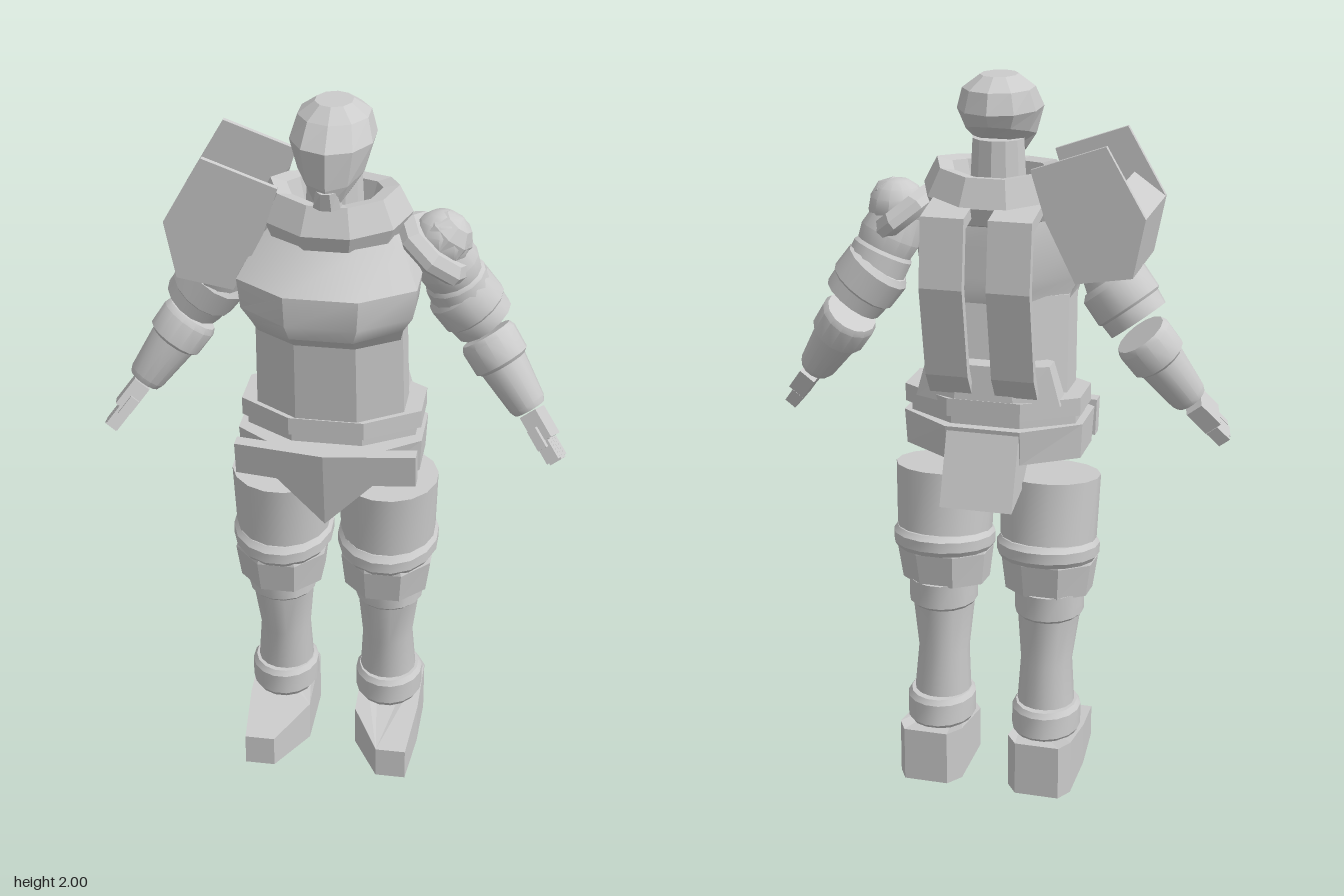
import * as THREE from 'three';
import { toCreasedNormals } from 'three/addons/utils/BufferGeometryUtils.js';

const mat = new THREE.MeshStandardMaterial({ color: 0xcccccc, side: THREE.DoubleSide });
const flat = new THREE.MeshStandardMaterial({ color: 0xcccccc, side: THREE.DoubleSide, flatShading: true });

function add(parent, name, geo, material = mat) {
  const g = material === mat ? toCreasedNormals(geo, 0.5) : geo;
  const m = new THREE.Mesh(g, material);
  m.name = name;
  parent.add(m);
  return m;
}

// Horizontal ring: half width rx, z from zb (back) to zf (front); tilt slopes y along z.
function ring(cx, y, rx, zb, zf, n = 8, tilt = 0, phase = 0.5) {
  const k = phase ? 1 / Math.cos(Math.PI / n) : 1, cz = (zb + zf) / 2, rz = (zf - zb) / 2;
  return Array.from({ length: n }, (_, i) => {
    const a = ((i + phase) / n) * Math.PI * 2;
    const z = Math.cos(a) * rz * k;
    return [cx + Math.sin(a) * rx * k, y + tilt * z, cz + z];
  });
}

// Skin over rings listed from the bottom up, with optional caps.
function loft(rings, caps = true) {
  const n = rings[0].length, pos = rings.flat(2), idx = [];
  for (let r = 0; r < rings.length - 1; r++)
    for (let i = 0; i < n; i++) {
      const a = r * n + i, b = r * n + (i + 1) % n;
      idx.push(a, b, b + n, a, b + n, a + n);
    }
  if (caps) {
    const top = (rings.length - 1) * n;
    for (let i = 1; i < n - 1; i++) idx.push(0, i + 1, i, top, top + i, top + i + 1);
  }
  const g = new THREE.BufferGeometry();
  g.setAttribute('position', new THREE.Float32BufferAttribute(pos, 3));
  g.setIndex(idx);
  g.computeVertexNormals();
  return caps || rings.length ? g.toNonIndexed() : g;
}

const shape = pts => new THREE.Shape(pts.map(p => new THREE.Vector2(...p)));
const slab = (pts, depth) => new THREE.ExtrudeGeometry(shape(pts), { depth, bevelEnabled: false });
// Side profile of [z, y] points, extruded from x0 to x1.
const sideSlab = (pts, x0, x1) => slab(pts, x1 - x0).rotateY(-Math.PI / 2).translate(x1, 0, 0);

// Turned segment from a to b; profile is [radius, fraction of the length].
function segment(parent, name, a, b, profile, sides = 14) {
  const A = new THREE.Vector3(...a), d = new THREE.Vector3(...b).sub(A), L = d.length();
  const pts = profile.map(([r, t]) => new THREE.Vector2(r, t * L));
  const m = add(parent, name, new THREE.LatheGeometry(pts, sides));
  m.position.copy(A);
  m.quaternion.setFromUnitVectors(new THREE.Vector3(0, 1, 0), d.normalize());
  return m;
}

function head(root) {
  const g = new THREE.Group();
  g.name = 'head';
  root.add(g);
  const R = (y, rx, zb, zf, t) => ring(0, y, rx, zb, zf, 10, t, 0);
  add(g, 'helmet', loft([
    R(1.805, 0.06, -0.06, 0.15, -0.4), R(1.845, 0.09, -0.105, 0.165, -0.25),
    R(1.91, 0.112, -0.122, 0.17, 0), R(1.965, 0.095, -0.105, 0.115, 0), R(1.998, 0.05, -0.05, 0.07, 0),
  ]), flat);
  add(g, 'chinGuard', loft([ring(0, 1.755, 0.035, 0.09, 0.155), ring(0, 1.805, 0.028, 0.09, 0.168)]), flat);
  add(g, 'neck', new THREE.CylinderGeometry(0.07, 0.08, 0.19, 12).translate(0, 1.74, 0));
}

function torso(root) {
  const g = new THREE.Group();
  g.name = 'torso';
  root.add(g);
  const C = (y, r) => ring(0, y, r, -r * 0.82, r * 0.84, 10, 0.18);
  add(g, 'collar', loft([
    C(1.64, 0.14), C(1.655, 0.175), C(1.705, 0.195), C(1.745, 0.175), C(1.775, 0.16),
    C(1.765, 0.12), C(1.69, 0.1),
  ].map(r => r.map(([x, y, z]) => [x, y - 0.3 * Math.max(0, z) , z])), false), flat);
  add(g, 'breastplate', loft([
    ring(0, 1.385, 0.19, -0.07, 0.18), ring(0, 1.43, 0.2, -0.08, 0.235), ring(0, 1.47, 0.225, -0.08, 0.248),
    ring(0, 1.55, 0.235, -0.08, 0.245), ring(0, 1.64, 0.185, -0.08, 0.15), ring(0, 1.69, 0.14, -0.07, 0.11),
  ]));
  add(g, 'abdomen', loft([ring(0, 1.14, 0.2, -0.11, 0.155), ring(0, 1.42, 0.195, -0.07, 0.18)]), flat);
  add(g, 'lumbarGuard', loft([ring(0, 1.14, 0.2, -0.16, 0), ring(0, 1.25, 0.17, -0.15, -0.02)]), flat);

  // Twin curved plates standing off the back
  const profile = [[-0.1, 1.69], [-0.225, 1.665], [-0.247, 1.48], [-0.195, 1.23], [-0.155, 1.17],
    [-0.14, 1.18], [-0.175, 1.25], [-0.222, 1.48], [-0.205, 1.635], [-0.1, 1.66]];
  for (const s of [-1, 1])
    add(g, 'backPlate', sideSlab(profile, s * 0.09 - 0.058, s * 0.09 + 0.058), flat);
}

function hips(root) {
  const g = new THREE.Group();
  g.name = 'hips';
  root.add(g);
  add(g, 'belt', loft([ring(0, 1.105, 0.245, -0.16, 0.16), ring(0, 1.155, 0.245, -0.16, 0.16)]), flat);
  add(g, 'waistLining', loft([ring(0, 1.06, 0.23, -0.14, 0.145), ring(0, 1.11, 0.23, -0.14, 0.145)]), flat);
  add(g, 'hipRing', loft([ring(0, 0.98, 0.245, -0.155, 0.18), ring(0, 1.078, 0.25, -0.168, 0.2)]), flat);
  // Pointed front apron, made of two mirrored halves bent at the middle
  for (const s of [-1, 1]) {
    const a = slab([[0, 1.078], [0, 0.845], [0.13, 0.98], [0.245, 0.98], [0.245, 1.078]], 0.04);
    const p = a.attributes.position;
    for (let i = 0; i < p.count; i++) {
      const x = p.getX(i), y = p.getY(i);
      p.setXYZ(i, s * x, y, p.getZ(i) + 0.18 - 0.14 * x - 0.17 * (1.078 - y));
    }
    if (s < 0) // restore outward facing on the mirrored half
      for (let i = 0; i < p.count; i += 3) {
        const v = [p.getX(i), p.getY(i), p.getZ(i)];
        p.setXYZ(i, p.getX(i + 1), p.getY(i + 1), p.getZ(i + 1));
        p.setXYZ(i + 1, ...v);
      }
    a.computeVertexNormals();
    add(g, 'frontApron', a, flat);
  }
  add(g, 'backFlap', sideSlab([[-0.1, 1.07], [-0.165, 1.07], [-0.24, 0.872], [-0.13, 0.9], [-0.04, 0.98]], -0.1, 0.1), flat);
}

function leg(root, s) {
  const g = new THREE.Group();
  g.name = s > 0 ? 'leftLeg' : 'rightLeg';
  root.add(g);
  const R = (y, x0, x1, zb, zf, tilt = 0, n = 16) => ring(s * (x0 + x1) / 2, y, (x1 - x0) / 2, zb, zf, n, tilt);
  add(g, 'thigh', loft([R(0.7, 0.02, 0.28, -0.155, 0.11, -0.1), R(0.91, 0.012, 0.287, -0.132, 0.125, -0.1)]));
  add(g, 'thighBand', loft([
    R(0.67, 0.02, 0.28, -0.165, 0.12, -0.13), R(0.685, 0.01, 0.29, -0.175, 0.13, -0.13),
    R(0.715, 0.01, 0.29, -0.175, 0.13, -0.13), R(0.73, 0.02, 0.28, -0.16, 0.115, -0.13),
  ]));
  add(g, 'kneeGuard', loft([R(0.565, 0.035, 0.265, -0.115, 0.1, -0.1, 8), R(0.66, 0.025, 0.278, -0.13, 0.115, -0.1, 8),
    R(0.69, 0.035, 0.265, -0.13, 0.11, -0.1, 8)]), flat);
  add(g, 'shin', loft([
    R(0.13, 0.08, 0.23, -0.13, 0.03), R(0.23, 0.073, 0.232, -0.125, 0.035), R(0.36, 0.08, 0.222, -0.11, 0.04),
    R(0.5, 0.068, 0.24, -0.115, 0.07), R(0.51, 0.06, 0.25, -0.125, 0.08), R(0.58, 0.06, 0.25, -0.125, 0.08),
  ]));
  add(g, 'ankleBand', loft([
    R(0.145, 0.07, 0.24, -0.15, 0.05), R(0.16, 0.06, 0.25, -0.16, 0.06),
    R(0.22, 0.06, 0.25, -0.155, 0.06), R(0.235, 0.07, 0.24, -0.145, 0.05),
  ]));

  // Boot: one outline, its top sloping down to the toe
  const outline = [[0.15, 0.195], [0.235, 0.195], [0.25, 0.02], [0.25, -0.15], [0.225, -0.195],
    [0.1, -0.195], [0.068, -0.15], [0.068, 0.05]];
  if (s < 0) outline.reverse();
  const level = h => outline.map(([x, z]) => [s * x, h * (0.158 - 0.065 * Math.max(0, z + 0.15) / 0.345), z]);
  add(g, 'boot', loft([level(0), level(1)]), flat);
}

function arm(root, s) {
  const g = new THREE.Group();
  g.name = s > 0 ? 'leftArm' : 'rightArm';
  root.add(g);
  const P = (x, y, z) => [s * x, y, z];
  add(g, 'shoulder', new THREE.SphereGeometry(0.08, 12, 8).translate(s * 0.28, 1.63, 0));
  segment(g, 'upperArm', P(0.27, 1.62, 0), P(0.345, 1.44, -0.045),
    [[0, 0], [0.07, 0], [0.085, 0.35], [0.078, 0.55], [0.085, 0.6], [0.085, 1], [0, 1]]);
  segment(g, 'upperArmBand', P(0.315, 1.485, -0.04), P(0.395, 1.38, -0.052),
    [[0, 0], [0.08, 0], [0.095, 0.12], [0.095, 0.65], [0.088, 0.7], [0.085, 1], [0, 1]]);
  segment(g, 'forearm', P(0.4, 1.34, -0.05), P(0.53, 1.155, 0.005),
    [[0, 0], [0.072, 0], [0.08, 0.07], [0.078, 0.36], [0.066, 0.4], [0.052, 0.93], [0.045, 1], [0, 1]]);

  // Flat gauntlet hand with fingers and a thumb
  const hand = new THREE.Group();
  hand.name = 'hand';
  hand.position.set(s * 0.535, 1.15, 0.01);
  hand.quaternion.setFromRotationMatrix(new THREE.Matrix4().lookAt(
    new THREE.Vector3(), new THREE.Vector3(s * -0.09, 0.115, -0.065), new THREE.Vector3(s, 0.7, 0)));
  g.add(hand);
  const box = (name, w, h, d, x, y, z) => add(hand, name, new THREE.BoxGeometry(w, h, d).translate(x, y, z), flat);
  box('palm', 0.085, 0.05, 0.085, 0, 0, 0.045);
  for (let i = 0; i < 4; i++) box('finger', 0.02, 0.036, 0.075 - 0.012 * Math.abs(i - 1.5), (i - 1.5) * 0.021, -0.006, 0.118);
  box('thumb', 0.022, 0.026, 0.06, -s * 0.05, -0.008, 0.075);
}

function roundPauldron(root) {
  // Faceted disc and dome on the left shoulder
  segment(root, 'roundPauldron', [0.245, 1.585, 0.005], [0.325, 1.684, 0.005],
    [[0.1, 0], [0.122, 0.12], [0.122, 0.3], [0.1, 0.48], [0.075, 0.46], [0.07, 0.75], [0.042, 1.0], [0, 1.12]], 8);
}

function tallPauldron(root) {
  const g = new THREE.Group();
  g.name = 'tallPauldron';
  root.add(g);
  // Upright front and back walls, joined by folded panels
  const wall = [[-0.325, 1.86], [-0.43, 1.68], [-0.4, 1.525], [-0.25, 1.5], [-0.17, 1.66], [-0.13, 1.79]];
  add(g, 'frontWall', slab(wall, 0.015).translate(0, 0, 0.1), flat);
  add(g, 'backWall', slab(wall, 0.015).translate(0, 0, -0.175), flat);
  const fold = [[-0.4, 1.525], [-0.43, 1.68], [-0.345, 1.74], [-0.305, 1.68], [-0.2, 1.67], [-0.145, 1.74],
    [-0.16, 1.69], [-0.2, 1.65], [-0.31, 1.65], [-0.35, 1.71], [-0.41, 1.67], [-0.385, 1.53]];
  add(g, 'foldedPanels', slab(fold, 0.27).translate(0, 0, -0.165), flat);
}

export function createModel() {
  const root = new THREE.Group();
  root.name = 'armouredFigure';
  head(root);
  torso(root);
  hips(root);
  for (const s of [-1, 1]) {
    leg(root, s);
    arm(root, s);
  }
  roundPauldron(root);
  tallPauldron(root);
  return root;
}
